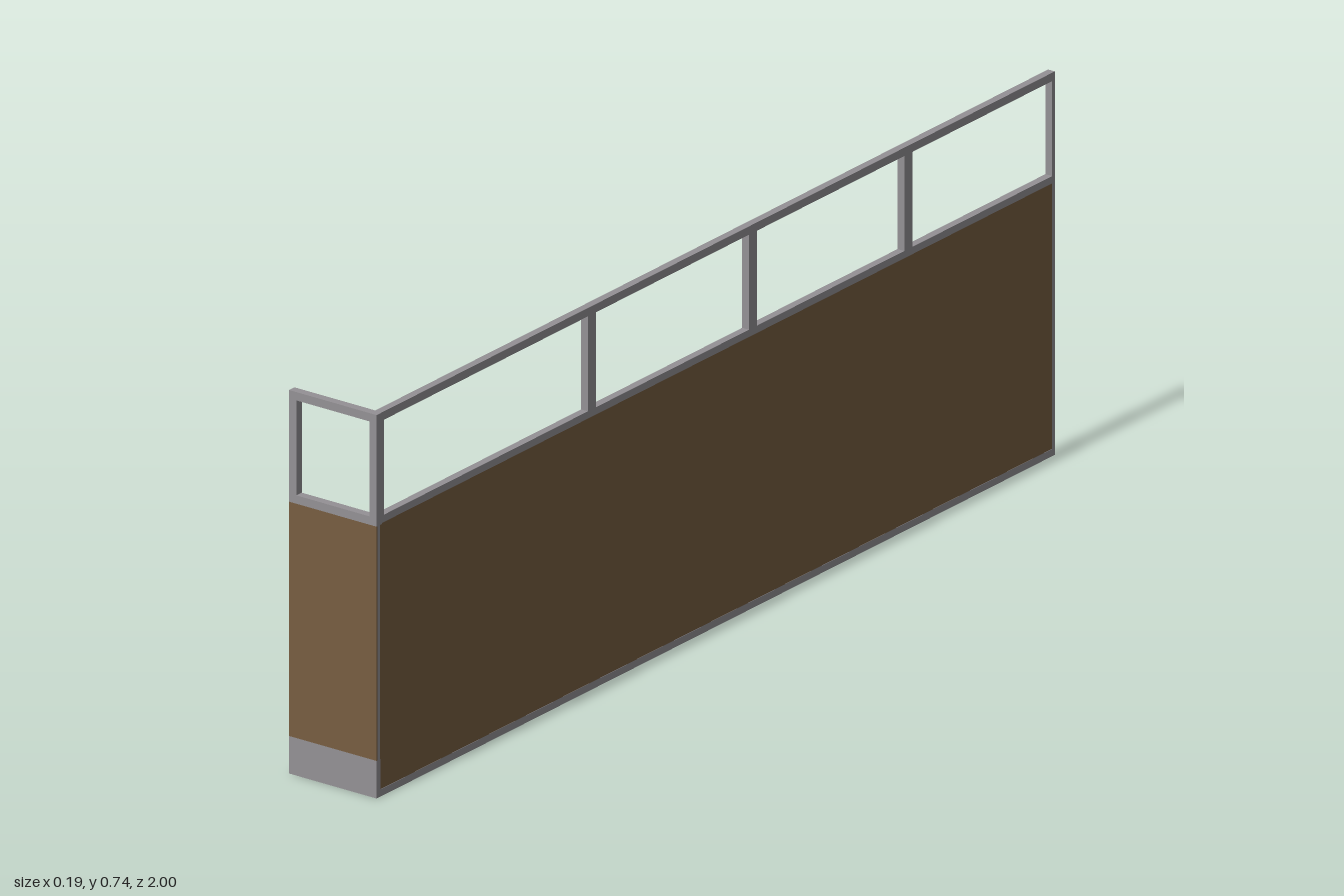
import * as THREE from 'three';

export function createModel() {
  const model = new THREE.Group();
  model.name = 'partitionScreen';
  const metal = new THREE.MeshStandardMaterial({ color: 0x949195 });
  metal.name = 'grey metal';
  const wood = new THREE.MeshStandardMaterial({ color: 0x775e41 });
  wood.name = 'brown wood';

  // Box given by its lower and upper limits on each axis
  const box = (parent, name, material, [x0, x1], [y0, y1], [z0, z1]) => {
    const mesh = new THREE.Mesh(new THREE.BoxGeometry(x1 - x0, y1 - y0, z1 - z0), material);
    mesh.position.set((x0 + x1) / 2, (y0 + y1) / 2, (z0 + z1) / 2);
    mesh.name = name;
    parent.add(mesh);
  };

  const W = 0.097, H = 0.735, T = 0.016;
  const railTop = 0.537, railBottom = 0.521;

  // Long side wall: wooden panel in a metal frame
  const side = new THREE.Group();
  side.name = 'sideWall';
  model.add(side);
  const sx = [0.082, W];
  box(side, 'sidePanel', wood, [0.0825, W - 0.0005], [0.014, railBottom + 0.002], [-0.992, 0.99]);
  box(side, 'bottomRail', metal, sx, [0, 0.014], [-1, 0.99]);
  box(side, 'middleRail', metal, sx, [railBottom + 0.002, railTop], [-0.992, 0.984]);
  box(side, 'topRail', metal, sx, [H - T, H], [-1, 0.984]);
  box(side, 'rearPost', metal, sx, [0.014, H - T], [-1, -0.992]);
  box(side, 'cornerPost', metal, sx, [railTop, H - T], [0.978, 0.988]);
  for (const z of [0.365, -0.11, -0.568]) {
    box(side, 'windowPost', metal, sx, [railTop, H - T], [z - 0.012, z + 0.012]);
  }

  // Short front wall: wooden faces on a metal core above a tall base
  const front = new THREE.Group();
  front.name = 'frontWall';
  model.add(front);
  const fx = [-W, W], fz = [0.988, 1];
  box(front, 'base', metal, fx, [0, 0.072], fz);
  box(front, 'panelCore', metal, fx, [0.072, railBottom], [0.99, 0.998]);
  box(front, 'frontPanel', wood, fx, [0.072, railBottom], [0.998, 1]);
  box(front, 'backPanel', wood, fx, [0.072, railBottom], [0.988, 0.99]);

  // Open window frame over the front panel
  const shape = new THREE.Shape([[-W, railBottom], [W, railBottom], [W, H], [-W, H]]
    .map(([x, y]) => new THREE.Vector2(x, y)));
  const i = W - T;
  shape.holes.push(new THREE.Path([[-i, railTop], [-i, H - T], [i, H - T], [i, railTop]]
    .map(([x, y]) => new THREE.Vector2(x, y))));
  const frame = new THREE.Mesh(
    new THREE.ExtrudeGeometry(shape, { depth: 0.016, bevelEnabled: false }), metal);
  frame.position.z = 0.984;
  frame.name = 'frontWindowFrame';
  front.add(frame);

  return model;
}
